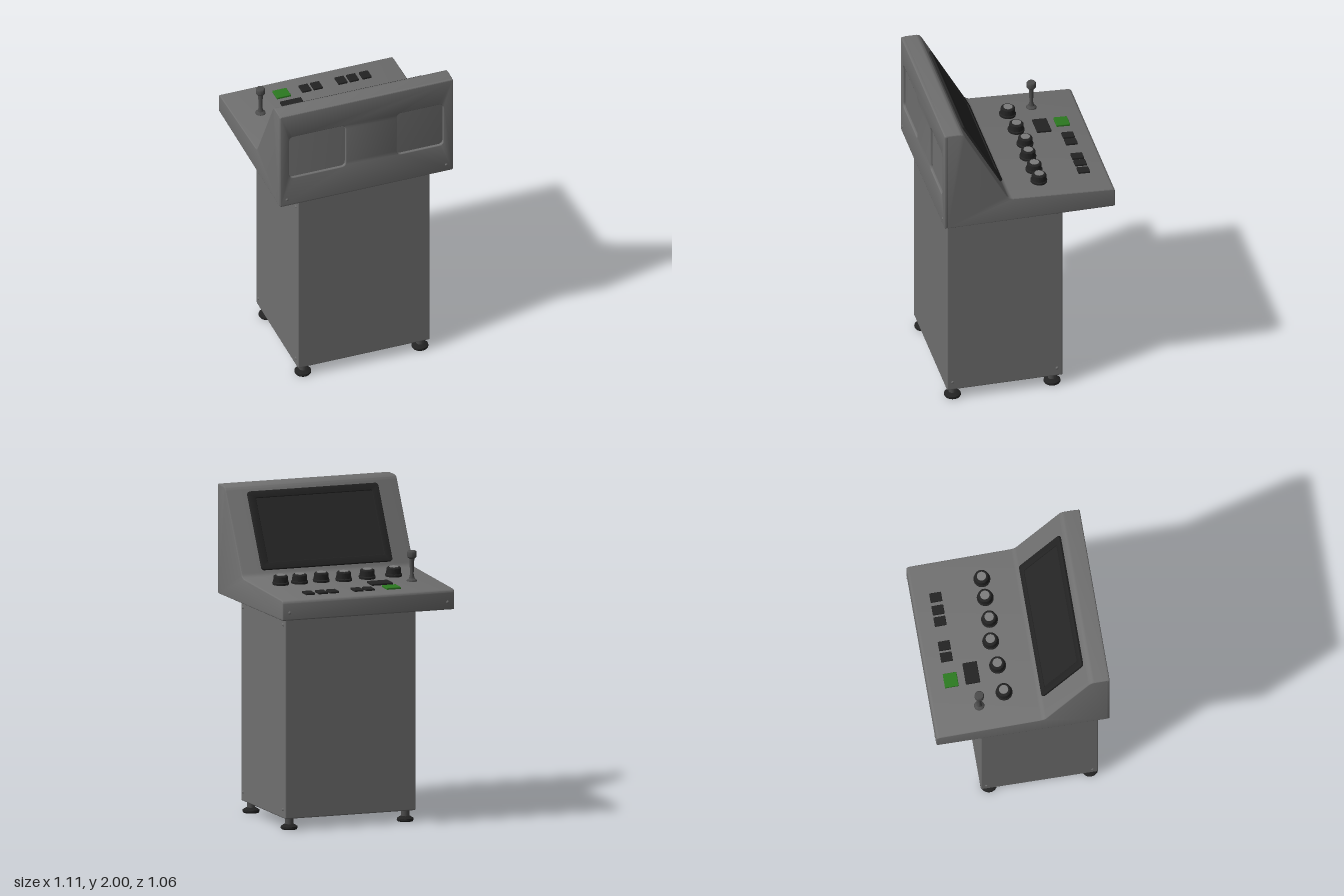
import * as THREE from 'three';
import { toCreasedNormals } from 'three/addons/utils/BufferGeometryUtils.js';
import { RoundedBoxGeometry } from 'three/addons/geometries/RoundedBoxGeometry.js';

const material = (name, color) => {
  const m = new THREE.MeshStandardMaterial({ color });
  m.name = name;
  return m;
};

// Rounded rectangle outline, usable as a shape or as a hole
function roundedRect(x0, y0, x1, y1, r, Type = THREE.Shape) {
  const s = new Type();
  s.moveTo(x0 + r, y0);
  s.lineTo(x1 - r, y0);
  s.quadraticCurveTo(x1, y0, x1, y0 + r);
  s.lineTo(x1, y1 - r);
  s.quadraticCurveTo(x1, y1, x1 - r, y1);
  s.lineTo(x0 + r, y1);
  s.quadraticCurveTo(x0, y1, x0, y1 - r);
  s.lineTo(x0, y0 + r);
  s.quadraticCurveTo(x0, y0, x0 + r, y0);
  return s;
}

// Bevelled extrusion whose outer size stays equal to the drawn size
const extrude = (shape, depth, bevel) => {
  const g = new THREE.ExtrudeGeometry(shape, {
    depth: depth - 2 * bevel, bevelEnabled: true, bevelThickness: bevel,
    bevelSize: bevel, bevelOffset: -bevel, bevelSegments: 3, curveSegments: 6,
  });
  g.translate(0, 0, bevel);
  return toCreasedNormals(g, 0.6);
};

const lathe = (points) => toCreasedNormals(
  new THREE.LatheGeometry(points.map(([r, y]) => new THREE.Vector2(r, y)), 28), 0.6);

export function createModel() {
  const model = new THREE.Group();
  model.name = 'controlConsole';
  const grey = material('painted grey metal', 0x707070);
  const black = material('black plastic', 0x232323);
  const glass = material('screen glass', 0x262626);
  const capGrey = material('knob cap grey', 0x7c7c7c);
  const steel = material('dark steel', 0x4c4c4c);
  const green = material('green button', 0x2c7a20);

  const add = (name, geometry, mat, x = 0, y = 0, z = 0, parent = model) => {
    const mesh = new THREE.Mesh(geometry, mat);
    mesh.name = name;
    mesh.position.set(x, y, z);
    parent.add(mesh);
    return mesh;
  };

  // Pedestal cabinet
  add('pedestal', new RoundedBoxGeometry(0.845, 1.275, 0.715, 2, 0.008), grey, 0, 0.7075, 0.1225);

  // Levelling feet
  const footGeo = lathe([[0, 0], [0.046, 0], [0.051, 0.008], [0.05, 0.018], [0.028, 0.032], [0, 0.032]]);
  const stemGeo = new THREE.CylinderGeometry(0.025, 0.025, 0.055, 16);
  for (const x of [-0.375, 0.375]) {
    for (const z of [-0.18, 0.435]) {
      add('footPad', footGeo, black, x, 0, z);
      add('footStem', stemGeo, steel, x, 0.0525, z);
    }
  }

  // Console housing: side profile (z, y) swept across the width
  const profile = new THREE.Shape();
  profile.moveTo(0.512, 1.333);
  profile.lineTo(0.512, 2.0);
  profile.lineTo(0.435, 2.0);
  profile.quadraticCurveTo(0.41, 2.0, 0.398, 1.975);
  profile.lineTo(0.142, 1.514);
  profile.quadraticCurveTo(0.13, 1.489, 0.1, 1.487);
  profile.lineTo(-0.5, 1.457);
  profile.quadraticCurveTo(-0.527, 1.455, -0.527, 1.435);
  profile.lineTo(-0.527, 1.345);
  profile.quadraticCurveTo(-0.527, 1.333, -0.515, 1.333);
  const housing = extrude(profile, 1.11, 0.006);
  housing.translate(0, 0, -0.555);
  housing.rotateY(-Math.PI / 2);
  add('consoleHousing', housing, grey);

  // Upright panel with two shallow pressed recesses
  const panel = roundedRect(-0.555, 1.333, 0.555, 2.0, 0.012);
  panel.holes.push(
    roundedRect(-0.495, 1.535, -0.135, 1.835, 0.03, THREE.Path),
    roundedRect(0.193, 1.535, 0.49, 1.835, 0.03, THREE.Path));
  add('recessedPanel', extrude(panel, 0.027, 0.006), grey, 0, 0, 0.5);

  // Tilted display on the slope
  const display = new THREE.Group();
  display.name = 'display';
  const up = new THREE.Vector3(0, 0.461, 0.256).normalize();
  const out = new THREE.Vector3(0, up.z, -up.y);
  display.quaternion.setFromRotationMatrix(
    new THREE.Matrix4().makeBasis(new THREE.Vector3(-1, 0, 0), up, out));
  display.position.set(0, 1.742, 0.268);
  model.add(display);
  const bezel = roundedRect(-0.422, -0.25, 0.422, 0.25, 0.02);
  bezel.holes.push(roundedRect(-0.375, -0.205, 0.375, 0.205, 0.006, THREE.Path));
  add('screenBezel', extrude(bezel, 0.018, 0.003), black, 0, 0, -0.003, display);
  add('screen', new THREE.BoxGeometry(0.76, 0.42, 0.009), glass, 0, 0, 0.0045, display);

  // Everything on the desk follows its gentle slope
  const deskTilt = -0.05;
  const deskY = (z) => 1.482 + 0.05 * z;
  const onDesk = (name, x, z) => {
    const g = new THREE.Group();
    g.name = name;
    g.position.set(x, deskY(z), z);
    g.rotation.x = deskTilt;
    model.add(g);
    return g;
  };

  // Rotary knobs with pale caps
  const knobGeo = lathe([[0, 0], [0.05, 0], [0.051, 0.012], [0.046, 0.017], [0.043, 0.05], [0.037, 0.056], [0, 0.056]]);
  const capGeo = new THREE.CylinderGeometry(0.028, 0.028, 0.006, 24);
  const knobs = [[-0.34, -0.08], [-0.165, -0.09], [-0.007, -0.106], [0.132, -0.09], [0.273, -0.093], [0.395, -0.093]];
  for (const [x, z] of knobs) {
    const knob = onDesk('knob', x, z);
    add('knobBody', knobGeo, black, 0, 0, 0, knob);
    add('knobCap', capGeo, capGrey, 0, 0.056, 0, knob);
  }

  // Push buttons: x, z, width, depth
  const button = (name, mat, x, z, w, d) => add(name,
    new RoundedBoxGeometry(w, 0.02, d, 2, 0.004), mat, 0, 0.002, 0, onDesk(name + 'Mount', x, z));
  button('startButton', green, -0.205, -0.382, 0.09, 0.084);
  button('selectorPlate', black, -0.182, -0.253, 0.135, 0.088);
  for (const x of [-0.055, 0.018, 0.176, 0.249, 0.331]) button('pushButton', black, x, -0.384, 0.058, 0.072);

  // Joystick lever
  add('joystick', lathe([[0, 0], [0.032, 0], [0.03, 0.008], [0.017, 0.018], [0.011, 0.045], [0.015, 0.138],
    [0.024, 0.144], [0.028, 0.15], [0.028, 0.18], [0.024, 0.186], [0, 0.187]]), steel, -0.394, 1.468, -0.24);

  // Small screw heads at the corners of cabinet and housing
  const screwGeo = new THREE.SphereGeometry(0.011, 10, 6);
  for (const s of [-1, 1]) {
    for (const y of [0.125, 1.25]) {
      for (const z of [-0.2, 0.445]) add('cabinetScrew', screwGeo, grey, s * 0.418, y, z);
    }
    for (const z of [-0.522, 0.522]) add('housingScrew', screwGeo, grey, s * 0.51, 1.38, z);
  }
  return model;
}
